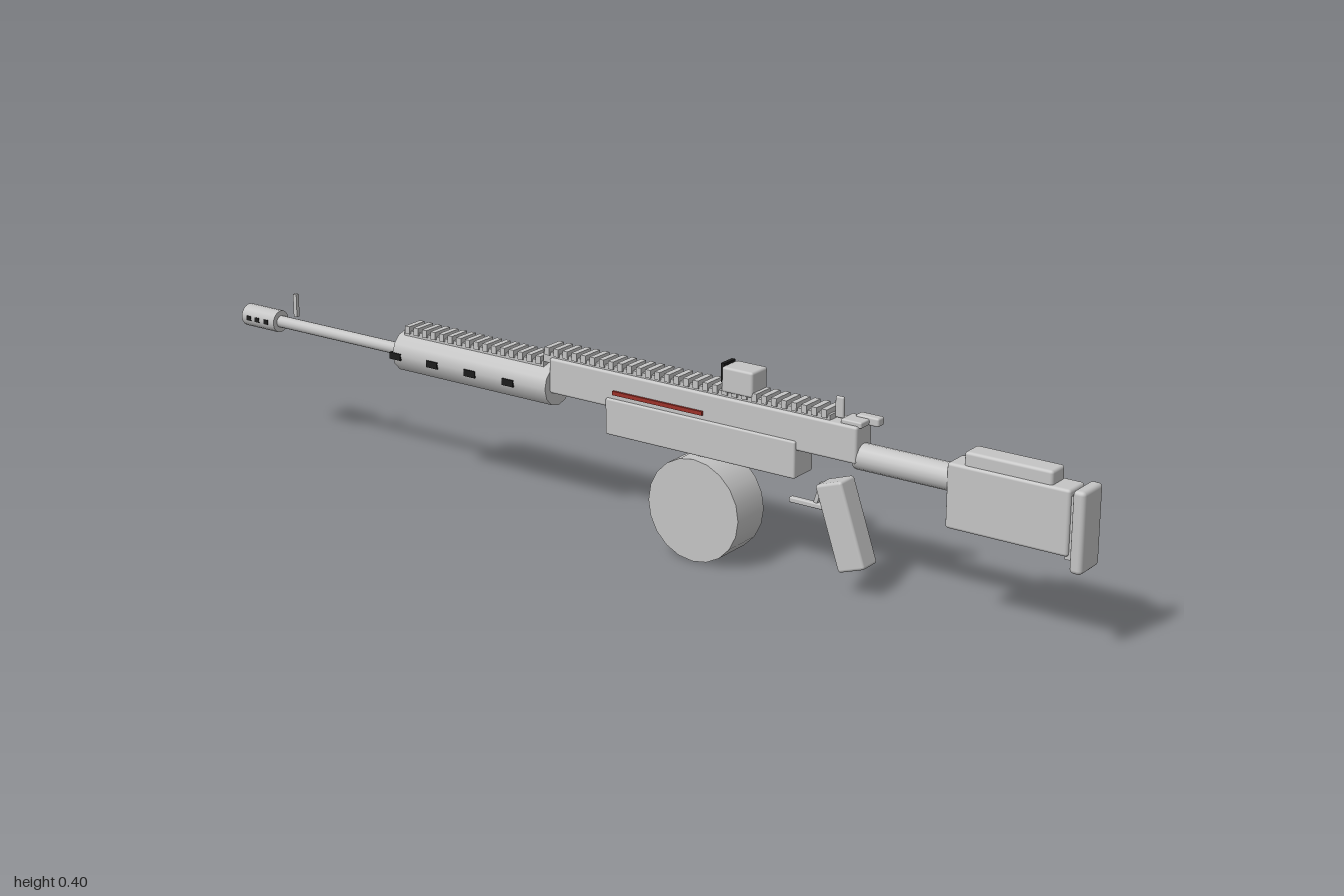
import * as THREE from 'three';
import { RoundedBoxGeometry } from 'three/addons/geometries/RoundedBoxGeometry.js';

const mat = (name, color) => {
  const m = new THREE.MeshStandardMaterial({ color });
  m.name = name;
  return m;
};

export function createModel() {
  const model = new THREE.Group();
  const grey = mat('light grey', 0xc4c4c4);
  const black = mat('black', 0x1c1c1c);
  const red = mat('dark red', 0x9c3028);

  const add = (name, geometry, material, x, y, z, parent = model) => {
    const mesh = new THREE.Mesh(geometry, material);
    mesh.name = name;
    mesh.position.set(x, y, z);
    parent.add(mesh);
    return mesh;
  };
  // Box given by its limits on each axis; r > 0 rounds the edges
  const box = (name, [x0, x1], [y0, y1], [z0, z1], r = 0, material = grey, parent = model) => {
    const size = [x1 - x0, y1 - y0, z1 - z0];
    const g = r ? new RoundedBoxGeometry(...size, 2, r) : new THREE.BoxGeometry(...size);
    return add(name, g, material, (x0 + x1) / 2, (y0 + y1) / 2, (z0 + z1) / 2, parent);
  };
  // Cylinder lying along z
  const tube = (name, r, y, z0, z1, sides = 16) =>
    add(name, new THREE.CylinderGeometry(r, r, z1 - z0, sides).rotateX(Math.PI / 2), grey, 0, y, (z0 + z1) / 2);
  const group = (name) => {
    const g = new THREE.Group();
    g.name = name;
    model.add(g);
    return g;
  };

  // Shoulder stock
  box('buttPlate', [-0.035, 0.035], [0.16, 0.316], [0.975, 1], 0.008);
  box('stockNeck', [-0.022, 0.022], [0.18, 0.3], [0.96, 0.985]);
  box('stock', [-0.028, 0.028], [0.186, 0.312], [0.72, 0.968], 0.006);
  box('cheekRest', [-0.023, 0.023], [0.305, 0.338], [0.752, 0.93], 0.006);
  tube('stockTube', 0.026, 0.275, 0.52, 0.73);

  // Receiver
  box('upperReceiver', [-0.027, 0.027], [0.266, 0.338], [-0.177, 0.53], 0.005);
  box('lowerReceiver', [-0.032, 0.032], [0.211, 0.285], [-0.037, 0.4], 0.004);
  box('boltCover', [0.022, 0.04], [0.295, 0.323], [0.185, 0.275], 0.004, black);
  for (const s of [-1, 1]) {
    const stripe = box('sideStripe', [-0.004, 0.004], [0.294, 0.302], [-0.02, 0.19], 0, red);
    stripe.position.x = s * 0.028;
  }
  box('chargingBar', [-0.02, 0.022], [0.334, 0.346], [0.49, 0.535], 0.003);
  box('chargingLatch', [0.008, 0.029], [0.333, 0.35], [0.505, 0.555], 0.004);

  // Grip, trigger and guard
  const grip = add('grip', new RoundedBoxGeometry(0.05, 0.172, 0.06, 2, 0.006), grey, 0, 0.134, 0.496);
  grip.rotation.x = -0.33;
  box('triggerGuard', [-0.006, 0.006], [0.152, 0.163], [0.372, 0.47], 0.003);
  const trigger = box('trigger', [-0.004, 0.004], [0.162, 0.205], [0.432, 0.44]);
  trigger.rotation.x = 0.3;

  // Drum magazine
  add('drumMagazine', new THREE.CylinderGeometry(0.104, 0.104, 0.088, 20).rotateZ(Math.PI / 2), grey, 0, 0.104, 0.18);

  // Handguard with black cross slots
  tube('handguard', 0.043, 0.277, -0.565, -0.175, 12);
  for (const z of [-0.268, -0.365, -0.462, -0.558]) {
    box('ventSlot', [-0.0445, 0.0445], [0.267, 0.281], [z - 0.014, z + 0.014], 0, black);
  }

  // Toothed rails
  const rail = (name, y, z0, z1, count) => {
    const g = group(name);
    const pitch = (z1 - z0) / count;
    box('railBase', [-0.02, 0.02], [y - 0.012, y + 0.01], [z0, z1], 0, grey, g);
    for (let i = 0; i < count; i++) {
      const z = z0 + (i + 0.5) * pitch;
      box('railTooth', [-0.024, 0.024], [y + 0.004, y + 0.02], [z - pitch * 0.27, z + pitch * 0.27], 0, grey, g);
    }
  };
  rail('receiverRail', 0.338, -0.195, 0.468, 30);
  rail('handguardRail', 0.316, -0.552, -0.195, 16);

  // Sights
  box('sightHousing', [-0.026, 0.026], [0.348, 0.398], [0.23, 0.3], 0.005);
  box('sightLens', [-0.018, 0.018], [0.364, 0.402], [0.224, 0.232], 0, black);
  box('rearSight', [-0.004, 0.004], [0.34, 0.381], [0.468, 0.486], 0.003);
  box('frontSight', [-0.004, 0.004], [0.293, 0.342], [-0.869, -0.86]);

  // Barrel and muzzle with side ports
  tube('barrel', 0.0125, 0.274, -0.93, -0.55, 16);
  tube('muzzle', 0.0235, 0.274, -1, -0.91, 16);
  for (const z of [-0.932, -0.957, -0.98]) {
    box('muzzlePort', [-0.0242, 0.0242], [0.269, 0.279], [z - 0.006, z + 0.006], 0, black);
  }
  return model;
}
